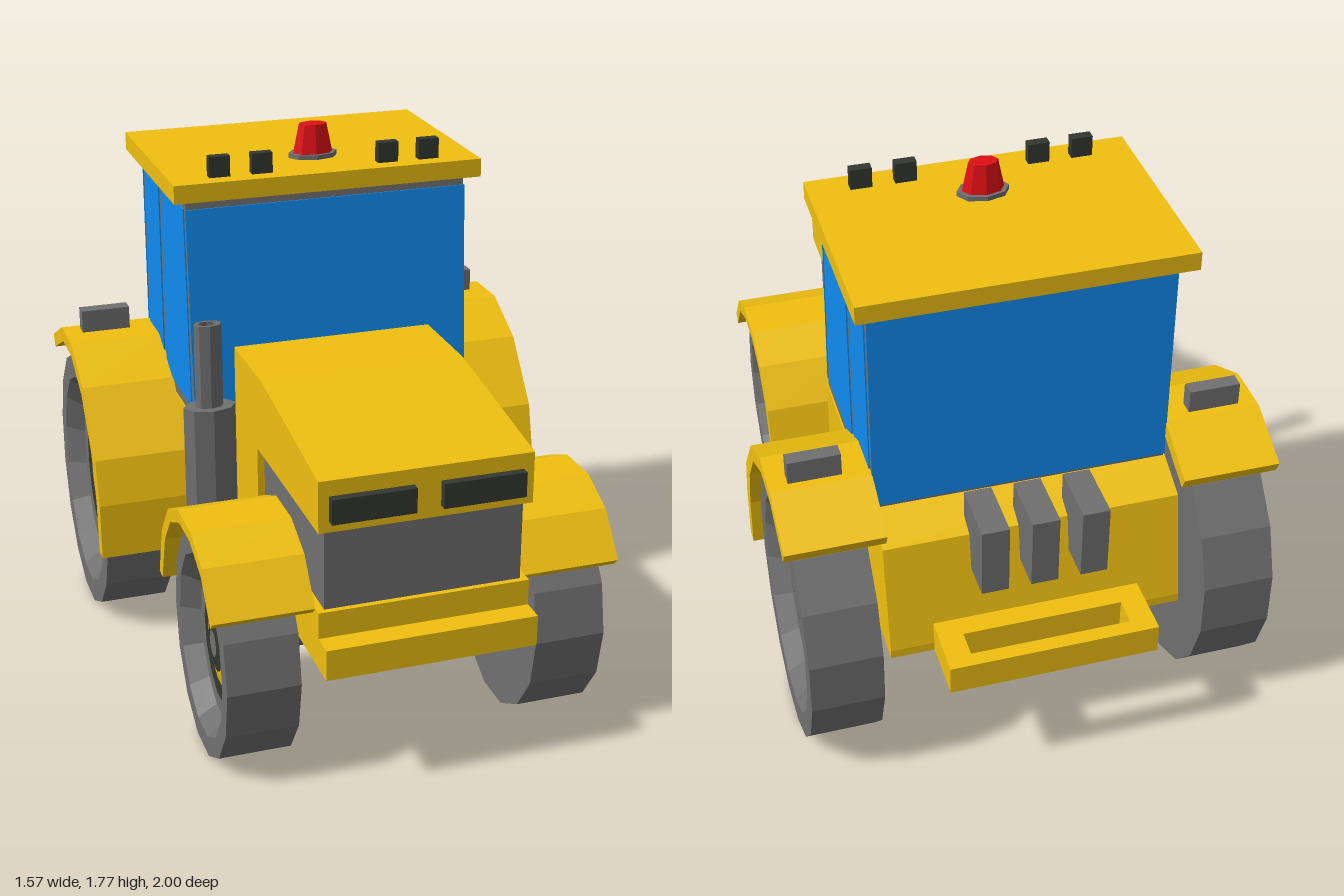
import * as THREE from 'three';

const paint = (color) => new THREE.MeshStandardMaterial({ color, flatShading: true });

export function createModel() {
  const model = new THREE.Group();
  const yellow = paint(0xf0c010), grey = paint(0x707070), dark = paint(0x343830);
  const blue = paint(0x108cf0), red = paint(0xe01014);

  const add = (name, geometry, material, parent = model) => {
    const mesh = new THREE.Mesh(geometry, material);
    mesh.name = name;
    parent.add(mesh);
    return mesh;
  };

  // Box given by its limits on each axis
  const box = (name, material, [x0, x1], [y0, y1], [z0, z1]) =>
    add(name, new THREE.BoxGeometry(x1 - x0, y1 - y0, z1 - z0), material)
      .position.set((x0 + x1) / 2, (y0 + y1) / 2, (z0 + z1) / 2);

  // Side profile of [z, y] points, extruded from x0 to x1
  const profile = (name, material, x0, x1, points) => {
    const shape = new THREE.Shape(points.map(([z, y]) => new THREE.Vector2(z, y)));
    const g = new THREE.ExtrudeGeometry(shape, { depth: x1 - x0, bevelEnabled: false });
    g.rotateY(-Math.PI / 2).translate(x1, 0, 0);
    return add(name, g, material);
  };

  // Profile repeated on both sides of the model
  const pair = (name, material, x0, x1, points) => {
    profile(name + 'Left', material, x0, x1, points);
    profile(name + 'Right', material, -x1, -x0, points);
  };

  // Body: bonnet and chassis wrap round the engine block
  profile('bonnetAndChassis', yellow, -0.335, 0.335, [
    [0.925, 0.42], [0.925, 0.605], [0.295, 0.605], [0.295, 0.865], [0.925, 0.865],
    [0.925, 1.03], [0.35, 1.115], [0.04, 1.115], [0.04, 0.42]]);
  box('engineBlock', grey, [-0.312, 0.312], [0.605, 0.865], [0.29, 0.907]);
  box('frontBumper', yellow, [-0.335, 0.335], [0.42, 0.52], [0.92, 1]);
  profile('rearBody', yellow, -0.475, 0.475, [
    [0.04, 0.42], [0.04, 0.87], [-0.61, 0.87], [-0.74, 0.81], [-0.81, 0.45], [-0.81, 0.42]]);
  for (const s of [-1, 1]) {
    const c = s * 0.172;
    box('headlight', dark, [c - 0.13, c + 0.13], [0.9, 0.98], [0.92, 0.952]);
  }

  // Cab: frame, panes and roof
  profile('cabFrame', grey, -0.47, 0.47, [
    [0.038, 0.87], [-0.016, 1.61], [-0.61, 1.61], [-0.61, 0.87]]);
  profile('windscreen', blue, -0.472, 0.472, [
    [0.04, 0.9], [-0.009, 1.572], [-0.016, 1.572], [0.033, 0.9]]);
  box('rearWindow', blue, [-0.472, 0.472], [0.88, 1.575], [-0.614, -0.606]);
  pair('doorWindow', blue, 0.465, 0.474, [[0, 0.91], [-0.035, 1.57], [-0.34, 1.57], [-0.34, 0.91]]);
  pair('sideWindow', blue, 0.465, 0.474, [[-0.375, 0.91], [-0.375, 1.57], [-0.58, 1.57], [-0.58, 0.91]]);
  box('roof', yellow, [-0.515, 0.515], [1.605, 1.665], [-0.67, 0.025]);
  for (const x of [-0.352, -0.212, 0.212, 0.352])
    box('roofLight', dark, [x - 0.034, x + 0.034], [1.66, 1.732], [-0.06, -0.028]);

  // Beacon
  const upright = (name, material, rTop, rBottom, y0, y1, x, z, flat, open = false) => {
    const m = add(name, new THREE.CylinderGeometry(rTop, rBottom, y1 - y0, 8, 1, open), material);
    m.position.set(x, (y0 + y1) / 2, z);
    m.scale.z = flat;
    m.rotation.y = 0;
    return m;
  };
  upright('beaconBase', grey, 0.083, 0.083, 1.66, 1.68, 0.003, -0.18, 0.65);
  upright('beacon', red, 0.047, 0.068, 1.675, 1.775, 0.003, -0.18, 0.65);

  // Exhaust: silencer and hollow pipe
  upright('exhaustSilencer', grey, 0.085, 0.085, 0.6, 0.995, -0.465, 0.208, 0.65);
  const pipe = new THREE.LatheGeometry([[0.045, 0.99], [0.045, 1.27], [0.03, 1.27], [0.03, 1.15], [0, 1.15]]
    .map(([r, y]) => new THREE.Vector2(r, y)), 8);
  pipe.scale(1, 1, 0.65).translate(-0.465, 0, 0.208);
  add('exhaustPipe', pipe, grey);

  // Mudguards with lamps on the rear pair
  pair('frontMudguard', yellow, 0.335, 0.648, [
    [0.895, 0.605], [0.79, 0.735], [0.66, 0.793], [0.5, 0.793], [0.37, 0.735], [0.27, 0.615],
    [0.215, 0.44], [0.255, 0.435], [0.31, 0.6], [0.395, 0.7], [0.515, 0.755], [0.645, 0.755],
    [0.775, 0.7], [0.87, 0.58]]);
  pair('rearMudguard', yellow, 0.47, 0.783, [
    [-0.055, 0.37], [-0.06, 0.56], [-0.1, 0.71], [-0.26, 0.91], [-0.44, 1.003], [-0.61, 1.003],
    [-0.795, 0.912], [-0.775, 0.87], [-0.6, 0.955], [-0.45, 0.955], [-0.29, 0.87],
    [-0.165, 0.71], [-0.115, 0.55], [-0.105, 0.37]]);
  for (const s of [-1, 1])
    box('mudguardLamp', grey, [s * 0.64 - 0.083, s * 0.64 + 0.083], [0.99, 1.08], [-0.583, -0.535]);

  // Rear valve blocks and hitch frame
  for (const x of [-0.155, 0.003, 0.16])
    box('valveBlock', grey, [x - 0.043, x + 0.043], [0.69, 0.93], [-0.88, -0.68]);
  const rect = (P, x, z0, z1) => new P([[-x, z0], [x, z0], [x, z1], [-x, z1]]
    .map(([a, b]) => new THREE.Vector2(a, b)));
  const hitch = rect(THREE.Shape, 0.335, -1, -0.78);
  hitch.holes.push(rect(THREE.Path, 0.257, -0.952, -0.865));
  add('hitchFrame', new THREE.ExtrudeGeometry(hitch, { depth: 0.1, bevelEnabled: false })
    .rotateX(Math.PI / 2).translate(0, 0.52, 0), yellow);

  // Wheels: lathed rings around the x axis, slightly oval
  const ovalness = 0.861;
  const wheel = (name, radius, sides, x, z, side) => {
    const group = new THREE.Group();
    group.name = name;
    const w = 0.115, deep = w - 0.06;
    const ring = (part, material, points) => {
      const pts = points.map(([r, d]) => new THREE.Vector2(r * radius, d));
      const g = new THREE.LatheGeometry(pts, sides, Math.PI / 2 + Math.PI / sides);
      add(part, g.rotateZ(-Math.PI / 2), material, group);
    };
    ring('tyre', grey, [[0, -w], [1, -w], [1, w], [0.82, w], [0.7, deep], [0.56, deep]]);
    ring('rimOuter', dark, [[0.56, deep], [0.4, deep]]);
    ring('rimInner', yellow, [[0.4, deep], [0.255, deep + 0.012]]);
    ring('hub', dark, [[0.255, deep + 0.012], [0.12, deep + 0.02]]);
    ring('hubCap', grey, [[0.12, deep + 0.02], [0, deep + 0.02]]);
    group.scale.z = ovalness;
    group.rotation.y = side > 0 ? 0 : Math.PI;
    group.position.set(side * x, radius * Math.cos(Math.PI / sides), z);
    model.add(group);
  };
  for (const s of [-1, 1]) {
    const label = s > 0 ? 'Left' : 'Right';
    wheel('frontWheel' + label, 0.368, 14, 0.495, 0.585, s);
    wheel('rearWheel' + label, 0.461, 16, 0.635, -0.52, s);
  }

  // Axles
  const axle = (name, length, y, z) => {
    const g = new THREE.CylinderGeometry(0.055, 0.055, length, 12).rotateZ(Math.PI / 2);
    add(name, g.scale(1, 1, ovalness).translate(0, y, z), grey);
  };
  axle('frontAxle', 0.8, 0.363, 0.585);
  axle('rearAxle', 1.08, 0.435, -0.52);

  return model;
}
